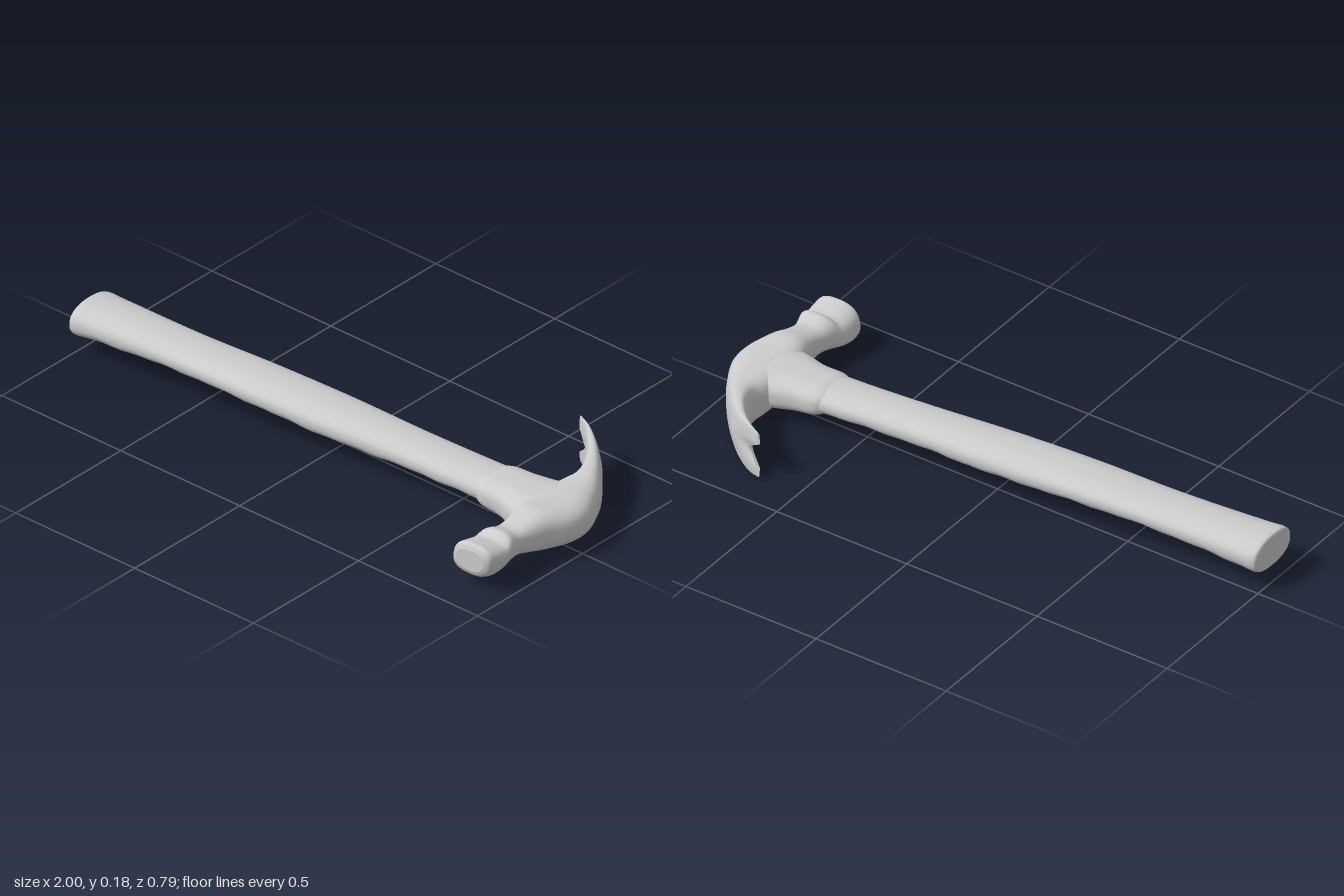
import * as THREE from 'three';

const SIDES = 48;
const power = (v, e) => Math.sign(v) * Math.pow(Math.abs(v), 2 / e);

// Smooth interpolation through the key sections
function blend(keys, s) {
  const i = Math.min(Math.floor(s), keys.length - 2), t = s - i;
  const at = k => keys[Math.max(0, Math.min(keys.length - 1, k))];
  const [a, b, c, d] = [at(i - 1), at(i), at(i + 1), at(i + 2)];
  return b.map((v, k) => v + 0.5 * t * (c[k] - a[k] +
    t * (2 * a[k] - 5 * v + 4 * c[k] - d[k] + t * (3 * (v - c[k]) + d[k] - a[k]))));
}

// Skin over rounded sections; each key is [ax, az, bx, bz, yBottom, yTop],
// where a and b are the two opposite edges seen from above
function loft(name, keys, exponent, material, warp = () => {}, steps = 8) {
  const pos = [], idx = [], p = new THREE.Vector3();
  const rows = (keys.length - 1) * steps;
  const ring = s => {
    const [ax, az, bx, bz, y0, y1] = blend(keys, s);
    const mid = new THREE.Vector3((ax + bx) / 2, (y0 + y1) / 2, (az + bz) / 2);
    for (let j = 0; j < SIDES; j++) {
      const t = j / SIDES * Math.PI * 2;
      const c = power(Math.cos(t), exponent) / 2;
      p.set(mid.x + (bx - ax) * c, mid.y + (y1 - y0) / 2 * power(Math.sin(t), exponent), mid.z + (bz - az) * c);
      warp(p);
      pos.push(p.x, p.y, p.z);
    }
    return mid;
  };
  for (let i = 0; i <= rows; i++) ring(i / steps);
  for (let i = 0; i < rows; i++) {
    for (let j = 0; j < SIDES; j++) {
      const a = i * SIDES + j, b = i * SIDES + (j + 1) % SIDES;
      idx.push(a, a + SIDES, b, b, a + SIDES, b + SIDES);
    }
  }
  // End caps with their own vertices, so the rims stay crisp
  for (const end of [0, 1]) {
    const first = pos.length / 3;
    const mid = ring(end * (keys.length - 1));
    warp(mid);
    pos.push(mid.x, mid.y, mid.z);
    for (let j = 0; j < SIDES; j++) {
      const a = first + j, b = first + (j + 1) % SIDES;
      if (end) idx.push(first + SIDES, b, a);
      else idx.push(first + SIDES, a, b);
    }
  }
  const geometry = new THREE.BufferGeometry();
  geometry.setAttribute('position', new THREE.Float32BufferAttribute(pos, 3));
  geometry.setIndex(idx);
  geometry.computeVertexNormals();
  const mesh = new THREE.Mesh(geometry, material);
  mesh.name = name;
  return mesh;
}

export function createModel() {
  const group = new THREE.Group();
  group.name = 'clawHammer';
  const material = new THREE.MeshStandardMaterial({ color: 0xcccccc });

  // Handle, thick at the grip and slightly bowed; worn ripples underneath
  const handle = [
    [-1.0, -0.005, 0.175, 0.065, 0.172],
    [-0.985, -0.018, 0.186, 0.058, 0.18],
    [-0.9, -0.02, 0.178, 0.066, 0.176],
    [-0.6, -0.026, 0.156, 0.08, 0.17],
    [-0.3, -0.045, 0.148, 0.078, 0.172],
    [0, -0.06, 0.132, 0.068, 0.17],
    [0.3, -0.066, 0.105, 0.07, 0.162],
    [0.55, -0.08, 0.09, 0.068, 0.156],
    [0.72, -0.09, 0.085, 0.062, 0.156],
  ].map(([x, z0, z1, y0, y1]) => [x, z0, x, z1, y0, y1]);
  const ripple = p => {
    if (p.y < 0.11) p.y += 0.003 * Math.sin(p.x * 37) * Math.sin(p.x * 13 + p.z * 20);
  };
  group.add(loft('handle', handle, 2.3, material, ripple));

  // Cheeks of the head around the top of the handle
  const cheeks = [
    [0.615, -0.075, 0.08, 0.074, 0.15],
    [0.65, -0.094, 0.092, 0.055, 0.159],
    [0.72, -0.102, 0.093, 0.045, 0.161],
    [0.79, -0.12, 0.112, 0.034, 0.162],
    [0.86, -0.14, 0.125, 0.028, 0.163],
    [0.93, -0.1, 0.09, 0.03, 0.162],
  ].map(([x, z0, z1, y0, y1]) => [x, z0, x, z1, y0, y1]);
  group.add(loft('cheeks', cheeks, 2.7, material));

  // Striking face, neck, body and curved claw as one skin, front to back
  const head = [
    [0.815, 0.392, 0.925, 0.39, 0.065, 0.14],
    [0.794, 0.38, 0.945, 0.378, 0.045, 0.16],
    [0.792, 0.345, 0.952, 0.345, 0.036, 0.154],
    [0.797, 0.3, 0.95, 0.3, 0.042, 0.146],
    [0.806, 0.27, 0.944, 0.27, 0.047, 0.164],
    [0.82, 0.22, 0.936, 0.22, 0.054, 0.15],
    [0.822, 0.17, 0.945, 0.17, 0.045, 0.158],
    [0.81, 0.11, 0.965, 0.11, 0.032, 0.172],
    [0.79, 0.03, 0.995, 0.03, 0.026, 0.166],
    [0.785, -0.05, 0.99, -0.05, 0.022, 0.164],
    [0.795, -0.12, 0.945, -0.14, 0.016, 0.163],
    [0.81, -0.17, 0.905, -0.2, 0.007, 0.168],
    [0.792, -0.235, 0.85, -0.265, 0.002, 0.174],
    [0.743, -0.305, 0.78, -0.33, 0.001, 0.177],
    [0.69, -0.358, 0.71, -0.374, 0.002, 0.185],
    [0.64, -0.392, 0.646, -0.4, 0.015, 0.184],
  ];
  // V-shaped nail slot in the claw; striking face leans over
  const shape = p => {
    const slot = THREE.MathUtils.clamp((-p.z - 0.28) / 0.12, 0, 1) * Math.max(0, 1 - Math.abs(p.y - 0.095) / 0.045);
    p.x += 0.06 * slot;
    p.z += 0.035 * slot;
    const lean = THREE.MathUtils.smoothstep(p.z, 0.15, 0.3);
    p.x += 0.2 * lean * (p.y - 0.098);
  };
  group.add(loft('head', head, 2.6, material, shape));
  return group;
}
